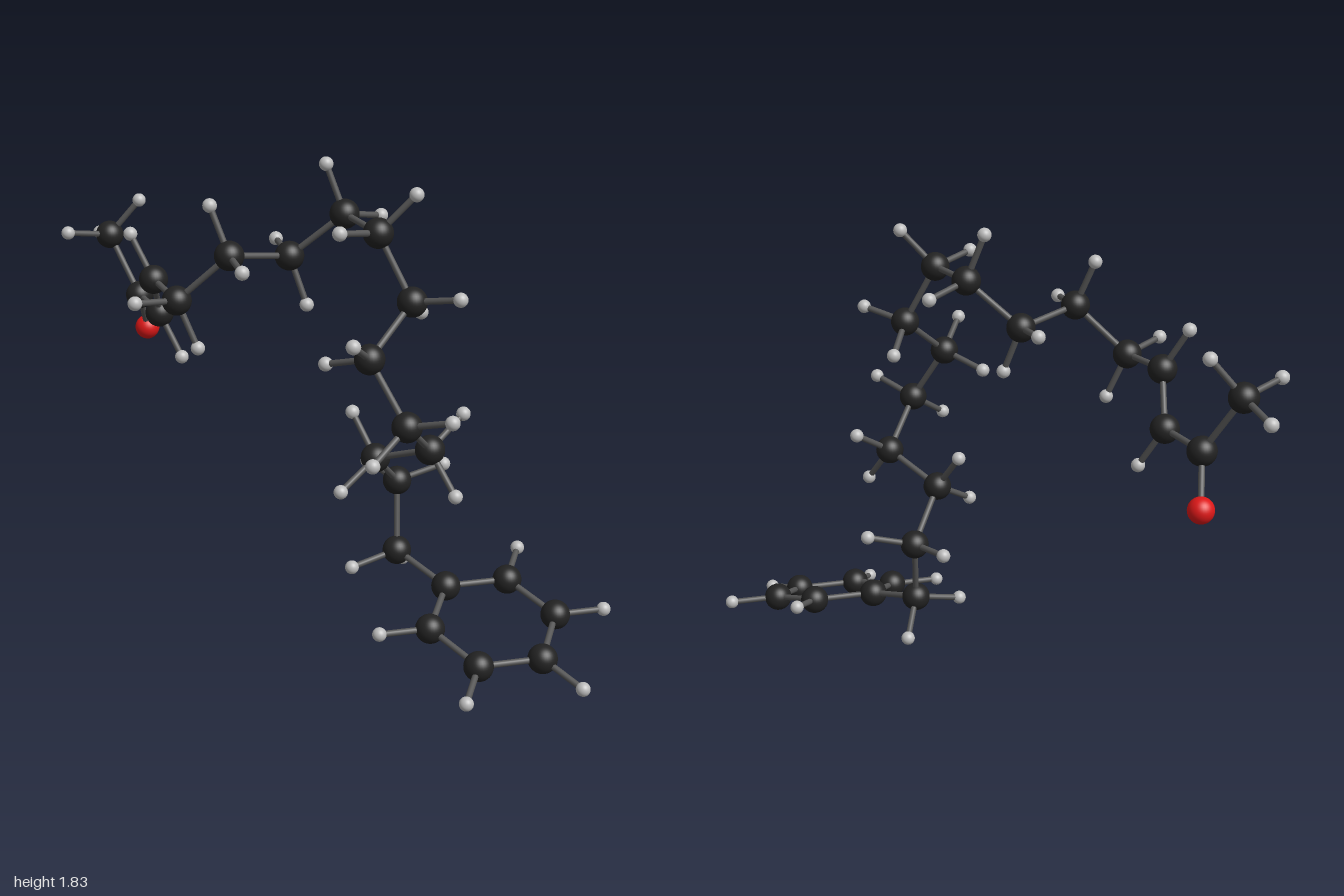
import * as THREE from 'three';

const V = (x, y, z) => new THREE.Vector3(x, y, z);
const H_BOND = 0.196;

// Carbon chain, from the ring end up and over to the oxygen end
const CHAIN = [
  [0.217, 0.295, 0.178], [0.235, 0.56, 0.107], [0.10, 0.73, 0.275], [0.25, 0.825, 0.483],
  [0.11, 0.987, 0.655], [0, 1.214, 0.548], [0.186, 1.382, 0.441], [0.08, 1.622, 0.36],
  [0.025, 1.634, 0.088], [-0.164, 1.462, -0.007], [-0.413, 1.503, 0.097], [-0.597, 1.319, 0.002],
  [-0.646, 1.336, -0.253], [-0.605, 1.156, -0.407], [-0.648, 1.161, -0.668], [-0.747, 1.393, -0.782],
].map(p => V(...p));
const OXYGEN = V(-0.605, 0.985, -0.788);
const METHYL = [[-0.768, 1.358, -0.974], [-0.923, 1.427, -0.707], [-0.625, 1.536, -0.755]].map(p => V(...p));

export function createModel() {
  const model = new THREE.Group();
  const mat = color => new THREE.MeshStandardMaterial({ color });
  const kinds = {
    carbonAtom: { geo: new THREE.SphereGeometry(0.056, 32, 20), mat: mat(0x222222) },
    hydrogenAtom: { geo: new THREE.SphereGeometry(0.027, 24, 16), mat: mat(0xbbbbbb) },
    oxygenAtom: { geo: new THREE.SphereGeometry(0.05, 32, 20), mat: mat(0xdd1818) },
  };
  const bondGeo = new THREE.CylinderGeometry(0.012, 0.012, 1, 16);
  const bondMat = mat(0x555555);

  const atom = (group, kind, p) => {
    const m = new THREE.Mesh(kinds[kind].geo, kinds[kind].mat);
    m.name = kind;
    m.position.copy(p);
    group.add(m);
  };
  const bond = (group, a, b) => {
    const m = new THREE.Mesh(bondGeo, bondMat);
    const d = b.clone().sub(a);
    m.name = 'bond';
    m.position.copy(a).add(b).multiplyScalar(0.5);
    m.scale.y = d.length();
    m.quaternion.setFromUnitVectors(V(0, 1, 0), d.normalize());
    group.add(m);
  };
  const hydrogen = (group, from, p) => {
    atom(group, 'hydrogenAtom', p);
    bond(group, from, p);
  };
  const part = name => {
    const g = new THREE.Group();
    g.name = name;
    model.add(g);
    return g;
  };

  // Tilted six-sided ring; every corner but the one holding the chain has a hydrogen
  const ring = part('ring');
  const centre = V(0.475, 0.157, 0.601), e1 = V(1, 0, 0), e2 = V(0, -0.316, 0.949);
  const onRing = (i, r) => centre.clone()
    .addScaledVector(e1, r * Math.cos(i * Math.PI / 3))
    .addScaledVector(e2, r * Math.sin(i * Math.PI / 3));
  const joint = 4;
  for (let i = 0; i < 6; i++) {
    const p = onRing(i, 0.248);
    atom(ring, 'carbonAtom', p);
    bond(ring, p, onRing(i + 1, 0.248));
    if (i !== joint) hydrogen(ring, p, onRing(i, 0.248 + H_BOND));
  }

  // Chain of carbons, bonded to the ring
  const chain = part('chain');
  CHAIN.forEach((p, i) => {
    const prev = i ? CHAIN[i - 1] : onRing(joint, 0.248);
    atom(chain, 'carbonAtom', p);
    bond(chain, prev, p);
    if (i > 13) return;
    // Hydrogens point away from both neighbours: a splayed pair, or one in plane
    const u = prev.clone().sub(p).normalize();
    const v = CHAIN[i + 1].clone().sub(p).normalize();
    const out = u.clone().add(v).normalize().negate();
    const side = u.clone().cross(v).normalize();
    const splay = i < 12 ? [0.955, -0.955] : [0];
    for (const a of splay) {
      hydrogen(chain, p, p.clone()
        .addScaledVector(out, H_BOND * Math.cos(a))
        .addScaledVector(side, H_BOND * Math.sin(a)));
    }
  });

  // End of the chain: oxygen and three hydrogens
  const end = part('chainEnd');
  atom(end, 'oxygenAtom', OXYGEN);
  bond(end, CHAIN[14], OXYGEN);
  METHYL.forEach(p => hydrogen(end, CHAIN[15], p));

  return model;
}
